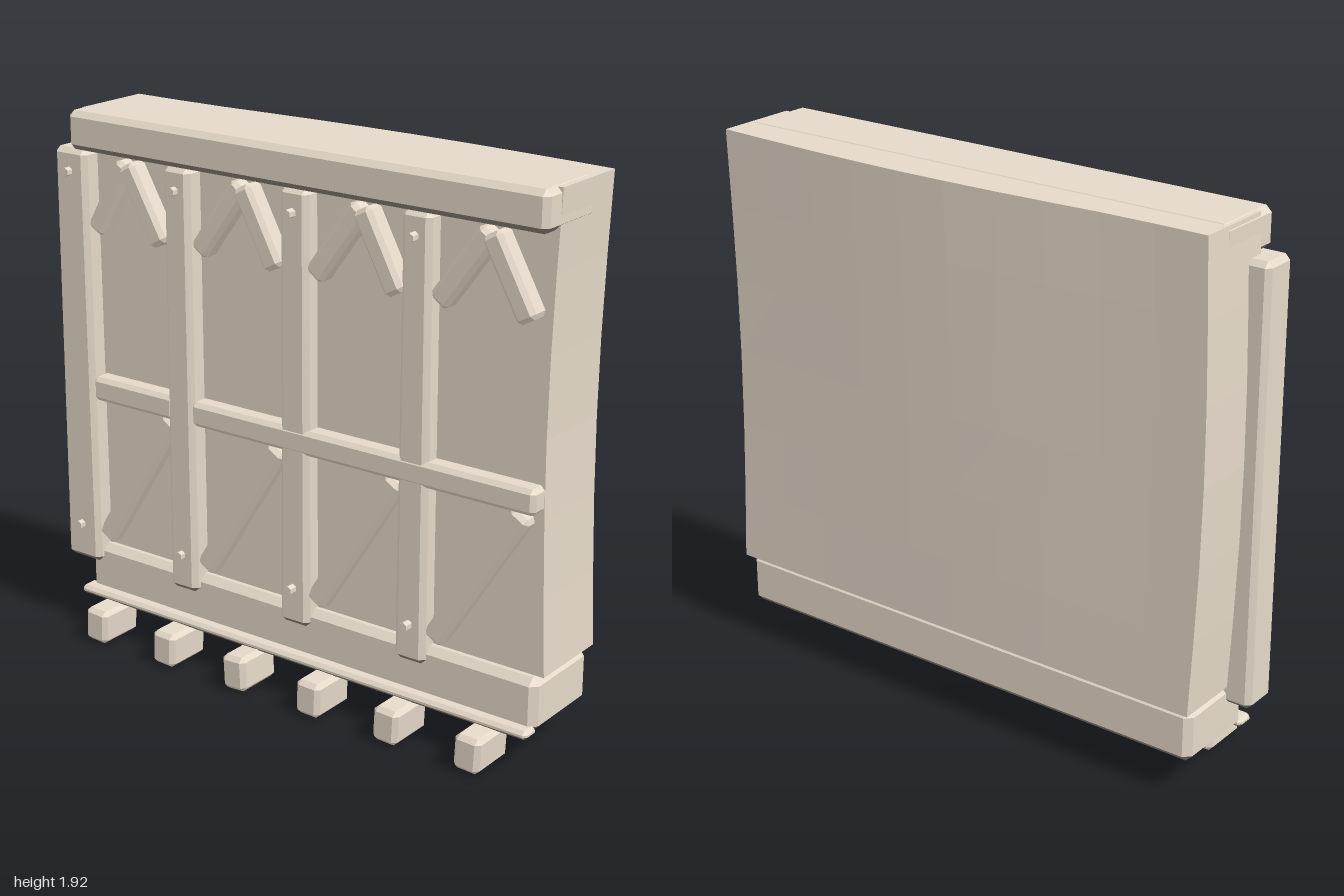
import * as THREE from 'three';
import { ConvexGeometry } from 'three/addons/geometries/ConvexGeometry.js';

// Box with chamfered edges; taper widens the foot and narrows the head
function chamferBox(w, h, d, b = 0.015, taper = 0) {
  const pts = [];
  for (const sx of [-1, 1]) for (const sy of [-1, 1]) for (const sz of [-1, 1]) {
    const x = w / 2, y = h / 2, z = d / 2, k = 1 - sy * taper;
    pts.push(
      new THREE.Vector3(sx * x * k, sy * (y - b), sz * (z - b)),
      new THREE.Vector3(sx * (x - b) * k, sy * y, sz * (z - b)),
      new THREE.Vector3(sx * (x - b) * k, sy * (y - b), sz * z));
  }
  return new ConvexGeometry(pts);
}

// Gives the downward faces the second material of a pair
function splitUnderside(geometry) {
  const normal = geometry.attributes.normal;
  for (let i = 0; i < normal.count; i += 3) geometry.addGroup(i, 3, normal.getY(i) < -0.5 ? 1 : 0);
}

export function createModel() {
  const model = new THREE.Group();
  model.name = 'timberWall';
  const wood = new THREE.MeshStandardMaterial({ color: 0xe4d8c8, flatShading: true });
  wood.name = 'paleTimber';
  const darkWood = new THREE.MeshStandardMaterial({ color: 0x8a8176, flatShading: true });
  darkWood.name = 'darkTimber';

  const add = (name, geometry) => {
    const mesh = new THREE.Mesh(geometry, wood);
    mesh.name = name;
    model.add(mesh);
    return mesh;
  };
  // Chamfered beam given by its extents
  const beam = (name, x0, x1, y0, y1, z0, z1, b, taper) => {
    const mesh = add(name, chamferBox(x1 - x0, y1 - y0, z1 - z0, b, taper));
    mesh.position.set((x0 + x1) / 2, (y0 + y1) / 2, (z0 + z1) / 2);
    return mesh;
  };
  // Beam with a dark underside
  const darkFootBeam = (...args) => {
    const mesh = beam(...args);
    splitUnderside(mesh.geometry);
    mesh.material = [wood, darkWood];
  };
  // Slanted strut between two points on the wall face
  const strut = (name, ax, ay, bx, by, w, z0, z1) => {
    const length = Math.hypot(bx - ax, by - ay);
    const mesh = add(name, chamferBox(w, length, z1 - z0, 0.015));
    mesh.position.set((ax + bx) / 2, (ay + by) / 2, (z0 + z1) / 2);
    mesh.rotation.z = -Math.atan2(bx - ax, by - ay);
  };

  // Plaster panel: bowed sideways at mid height, back bulging toward the top
  const panel = new THREE.BoxGeometry(1.91, 1.595, 0.3, 10, 6, 1);
  const p = panel.attributes.position;
  for (let i = 0; i < p.count; i++) {
    const x = p.getX(i), t = p.getY(i) / 1.595 + 0.5;
    const topBack = -0.22 - 0.037 * Math.max(0, Math.cos((x - 0.2) * Math.PI / 1.7));
    const back = THREE.MathUtils.lerp(-0.235, topBack, t);
    p.setXYZ(i, x + 0.043 - 0.024 * Math.sin(Math.PI * t), 0.32 + t * 1.595, p.getZ(i) > 0 ? 0.074 : back);
  }
  panel.computeVertexNormals();
  add('wallPanel', panel);

  // Head beam, sill and ledge
  darkFootBeam('topBeam', -0.915, 0.994, 1.782, 1.918, -0.125, 0.152, 0.02);
  darkFootBeam('sillBeam', -0.91, 0.993, 0.128, 0.32, -0.213, 0.115, 0.025);
  darkFootBeam('sillLedge', -0.92, 0.99, 0.124, 0.156, 0.09, 0.16, 0.012);

  // Posts with pegs
  const posts = [[-0.92, 0.15, 0.142], [-0.445, 0.115, 0.142], [0.04, 0.117, 0.134], [0.515, 0.115, 0.134]];
  for (const [x, w, z] of posts) {
    darkFootBeam('post', x - w / 2, x + w / 2, 0.257, 1.783, 0.005, z, 0.018, 0.05);
    for (const y of [0.394, 1.703]) {
      const peg = add('peg', new THREE.CylinderGeometry(0.016, 0.016, 0.07, 6));
      peg.rotation.x = Math.PI / 2;
      peg.position.set(x, y, 0.13);
    }
  }

  // Middle rail, interrupted by the second post
  beam('middleRail', -0.85, -0.48, 0.882, 0.97, 0.055, 0.137, 0.015);
  beam('middleRail', -0.4, 0.975, 0.882, 0.97, 0.055, 0.137, 0.015);

  // Diagonal braces below and chevrons above: brace foot, left foot, apex, right foot
  const bays = [
    [-0.825, -0.82, -0.675, -0.535],
    [-0.36, -0.36, -0.175, -0.045],
    [0.12, 0.12, 0.305, 0.435],
    [0.598, 0.6, 0.785, 0.92],
  ];
  for (const [foot, left, apex, right] of bays) {
    strut('lowerBrace', foot - 0.005, 0.352, foot + 0.32, 0.872, 0.078, 0.03, 0.125);
    strut('chevronLeft', left - 0.008, 1.5, apex - 0.008, 1.755, 0.076, 0.03, 0.13);
    strut('chevronRight', right + 0.006, 1.5, apex, 1.755, 0.076, 0.03, 0.14);
  }

  // Joist ends under the ledge, each slightly askew
  [-0.05, -0.04, 0.05, -0.03, -0.05, -0.05].forEach((tilt, i) => {
    const x = -0.77 + i * 0.319;
    beam('joistEnd', x - 0.049, x + 0.049, 0.002, 0.128, 0.07, 0.255, 0.016).rotation.z = tilt;
  });
  return model;
}
